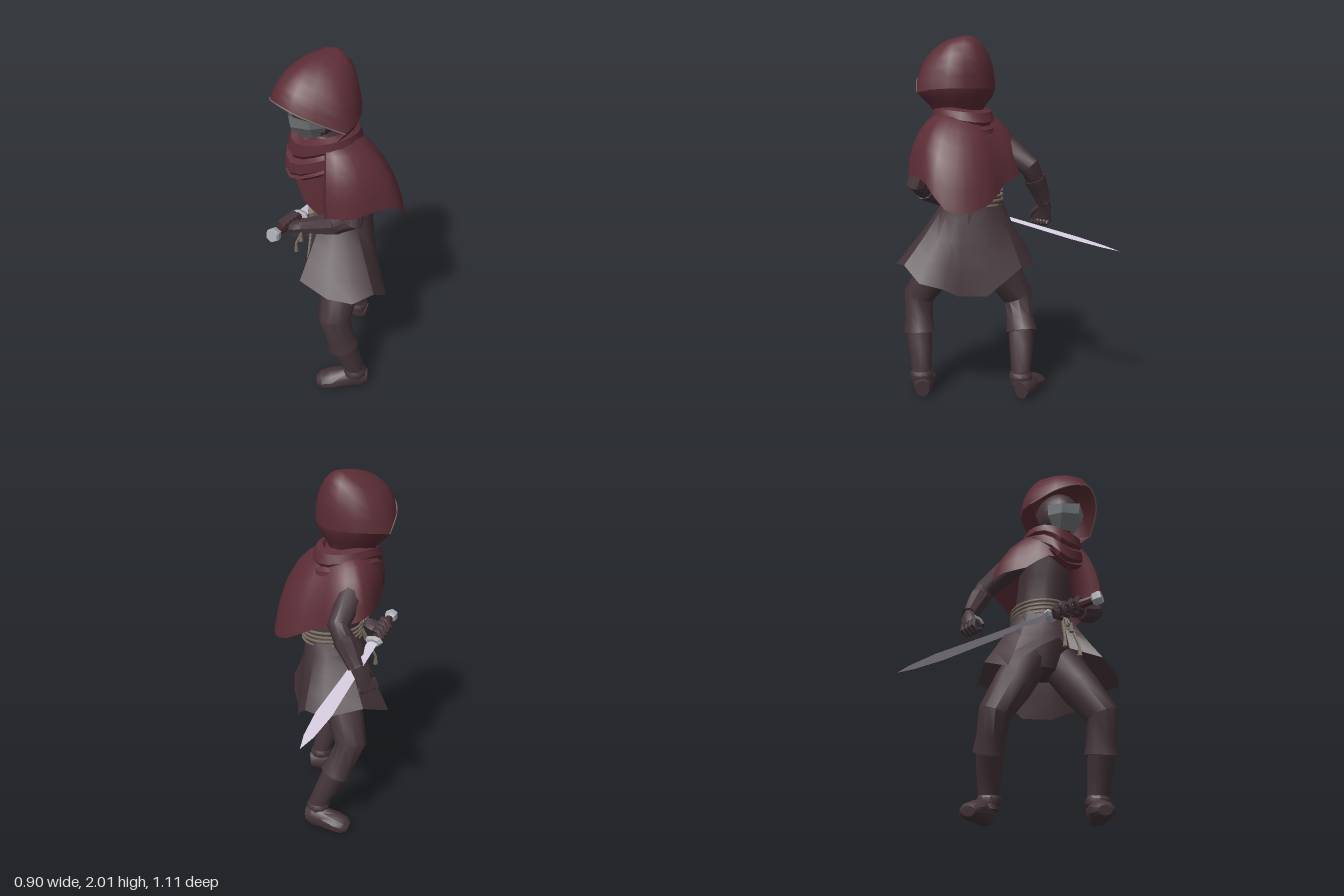
import * as THREE from 'three';
import { toCreasedNormals } from 'three/addons/utils/BufferGeometryUtils.js';

const V = (x, y, z) => new THREE.Vector3(x, y, z);
const mat = (name, color, side = THREE.FrontSide) => {
  const m = new THREE.MeshStandardMaterial({ color, side });
  m.name = name;
  return m;
};

// Skin a list of rings (top to bottom, each running front -> left -> back)
function loft(rings, closed = true, crease = 0.7) {
  const n = rings[0].length, pos = [], idx = [];
  rings.forEach(r => r.forEach(p => pos.push(p.x, p.y, p.z)));
  for (let i = 0; i < rings.length - 1; i++) {
    for (let j = 0; j < (closed ? n : n - 1); j++) {
      const k = (j + 1) % n, a = i * n + j, b = a + n, c = (i + 1) * n + k, d = i * n + k;
      idx.push(a, b, c, a, c, d);
    }
  }
  const g = new THREE.BufferGeometry();
  g.setAttribute('position', new THREE.Float32BufferAttribute(pos, 3));
  g.setIndex(idx);
  return toCreasedNormals(g, crease);
}

// Capped tube through [x, y, z, radius along ref, radius across]
function limb(pts, sides = 10, ref = V(0, 0, 1), crease = 0.7) {
  const P = pts.map(p => V(p[0], p[1], p[2])), last = P.length - 1;
  const rings = P.map((p, i) => {
    const T = P[Math.min(i + 1, last)].clone().sub(P[Math.max(i - 1, 0)]).normalize();
    const u = ref.clone().addScaledVector(T, -ref.dot(T)).normalize();
    const v = u.clone().cross(T);
    const ru = pts[i][3], rv = pts[i][4] ?? ru;
    return Array.from({ length: sides }, (_, j) => {
      const a = j / sides * Math.PI * 2;
      const q = p.clone().addScaledVector(u, ru * Math.cos(a)).addScaledVector(v, rv * Math.sin(a));
      q.y = Math.max(q.y, 0);
      return q;
    });
  });
  const cap = p => Array.from({ length: sides }, () => p.clone());
  return loft([cap(P[0]), ...rings, cap(P[last])], true, crease);
}

// Horizontal ellipse ring
const oval = (x, y, z, rx, rz, n = 16) => Array.from({ length: n }, (_, j) => {
  const a = j / n * Math.PI * 2;
  return V(x + rx * Math.sin(a), y, z + rz * Math.cos(a));
});

// Cloth from a small ring around c down to a hem; flat and backFlat straighten the curve
function drape(c, r, hem, steps, flat, backFlat) {
  const rings = [];
  for (let k = 0; k <= steps; k++) {
    const t = k / steps, s = Math.sin(t * Math.PI / 2), q = 1 - Math.cos(t * Math.PI / 2);
    rings.push(hem.map(p => {
      const dir = V(p.x - c.x, 0, p.z - c.z).normalize();
      const b = flat + backFlat * Math.max(0, -dir.z);
      const f = s + (t - s) * b, h = q + (t - q) * b;
      const d = dir.multiplyScalar(r).add(c);
      return V(d.x + (p.x - d.x) * f, d.y + (p.y - d.y) * h, d.z + (p.z - d.z) * f);
    }));
  }
  return loft(rings, true, 0.8);
}

export function createModel() {
  const model = new THREE.Group();
  const red = mat('red cloth', 0x5c2d36, THREE.DoubleSide);
  const brown = mat('brown cloth', 0x45353a);
  const skirtMat = mat('brown skirt cloth', 0x45353a, THREE.DoubleSide);
  const tan = mat('tan rope', 0x786a5e);
  const maskMat = mat('grey mask', 0x75797c, THREE.DoubleSide);
  const steel = mat('steel', 0xd4ccde);
  const fitting = mat('grey fitting', 0xaaacb2);
  const grip = mat('grip leather', 0x4a2a30);
  const add = (name, geo, m) => {
    const mesh = new THREE.Mesh(geo, m);
    mesh.name = name;
    model.add(mesh);
    return mesh;
  };

  // Torso, neck and head
  add('torso', loft([
    oval(0.06, 1.66, 0.21, 0.06, 0.06), oval(0.05, 1.56, 0.18, 0.1, 0.11),
    oval(0.05, 1.47, 0.16, 0.17, 0.155), oval(0.06, 1.32, 0.13, 0.155, 0.16),
    oval(0.06, 1.14, 0.08, 0.14, 0.162), oval(0.07, 0.95, 0.08, 0.16, 0.15),
    oval(0.07, 0.8, 0.07, 0.12, 0.11), oval(0.07, 0.76, 0.07, 0, 0),
  ]), brown);
  const head = add('head', new THREE.SphereGeometry(1, 16, 12), brown);
  head.position.set(0.06, 1.73, 0.23);
  head.scale.set(0.115, 0.145, 0.14);

  // Face mask with a central ridge
  const maskRow = (y, pts) => [...pts.map(p => V(0.06 - p[0], y + p[1], p[2])),
    ...pts.slice(0, -1).reverse().map(p => V(0.06 + p[0], y + p[1], p[2]))];
  add('mask', loft([
    maskRow(1.73, [[0.125, 0.01, 0.28], [0.09, 0, 0.355], [0, 0.015, 0.41]]),
    maskRow(1.68, [[0.115, 0, 0.27], [0.08, 0, 0.345], [0, 0, 0.4]]),
    maskRow(1.605, [[0.075, 0.02, 0.26], [0.05, 0, 0.3], [0, -0.01, 0.33]]),
  ], false, 0.2), maskMat);

  // Hood: broad brim, full at the back, mirrored about the head
  const hx = 0.06;
  const half = [[0, 1.83, 0.475], [0.085, 1.81, 0.45], [0.165, 1.77, 0.385], [0.245, 1.7, 0.262],
    [0.22, 1.715, 0.17], [0.16, 1.72, 0.09], [0.08, 1.72, 0.045], [0, 1.72, 0.03]];
  const hoodHem = [...half.map(p => V(hx + p[0], p[1], p[2])),
    ...half.slice(1, -1).reverse().map(p => V(hx - p[0], p[1], p[2]))];
  add('hood', drape(V(hx, 2, 0.18), 0.03, hoodHem, 7, 0.25, -0.65), red);
  add('hoodTop', loft([oval(hx, 2, 0.18, 0, 0), oval(hx, 2, 0.18, 0.032, 0.032)]), red);
  // Hood sides tucked in below the brim
  const tuck = hoodHem.slice(3, 12);
  const tucked = (sx, sz, y) => tuck.map(p => V(hx + (p.x - hx) * sx, y, 0.2 + (p.z - 0.2) * sz));
  add('hoodCollar', loft([tuck, tucked(0.9, 0.93, 1.675), tucked(0.72, 0.73, 1.63),
    tucked(0.52, 0.6, 1.57)], false), red);
  const brim = [...hoodHem.slice(-3), ...hoodHem.slice(0, 4)];
  add('brimStitch', new THREE.TubeGeometry(new THREE.CatmullRomCurve3(brim), 24, 0.004, 5), tan);

  // Shoulder cape, longer over the left chest and the left back
  const capeHem = [[0.005, 1.36, 0.35], [0.045, 1.21, 0.325], [0.1, 1.16, 0.3], [0.18, 1.155, 0.3],
    [0.27, 1.24, 0.355], [0.37, 1.25, 0.27], [0.4, 1.26, 0.15], [0.415, 1.23, 0.02], [0.37, 1.1, -0.09],
    [0.28, 1.08, -0.155], [0.14, 1.12, -0.175], [0, 1.2, -0.11], [-0.13, 1.25, -0.08],
    [-0.235, 1.29, 0], [-0.23, 1.31, 0.1], [-0.17, 1.32, 0.21], [-0.1, 1.38, 0.31]].map(p => V(...p));
  const capeCurve = new THREE.CatmullRomCurve3(capeHem, true);
  add('cape', drape(V(0.06, 1.6, 0.18), 0.1,
    Array.from({ length: 34 }, (_, i) => capeCurve.getPoint(i / 34)), 6, 0.1, 0.3), red);

  // Folded scarf, drooping at the front and a little at the back
  const scarfRing = ([r, y, drop]) => oval(0.06, y, 0.19, r, r, 18).map(p => {
    const c = (p.z - 0.19) / r, f = Math.max(0, c) ** 3, b = Math.max(0, -c) ** 2;
    return V(p.x - 0.6 * drop * f, p.y - drop * (f + 0.4 * b), p.z - 0.4 * drop * b);
  });
  add('scarf', loft([[0.1, 1.56, 0.04], [0.13, 1.625, 0.05], [0.165, 1.61, 0.05],
    [0.174, 1.57, 0.08], [0.16, 1.555, 0.09], [0.18, 1.54, 0.1], [0.184, 1.49, 0.11],
    [0.168, 1.48, 0.12], [0.18, 1.465, 0.12], [0.145, 1.43, 0.1]].map(scarfRing), true, 0.5), red);

  // Tunic skirt with front flaps
  const hem = [[0.06, 0.88, 0.3], [0.15, 0.805, 0.45], [0.32, 0.765, 0.4], [0.425, 0.755, 0.315],
    [0.45, 0.77, 0.19], [0.425, 0.685, 0.08], [0.32, 0.65, 0], [0.25, 0.61, -0.03],
    [0.12, 0.61, -0.13], [0.04, 0.69, -0.18], [-0.05, 0.76, -0.21], [-0.17, 0.75, -0.17],
    [-0.285, 0.79, 0.01], [-0.285, 0.71, 0.2], [-0.1, 0.865, 0.25], [0, 0.93, 0.28]].map(p => V(...p));
  const waist = hem.map(p => {
    const a = Math.atan2(p.x - 0.06, p.z - 0.08);
    return V(0.06 + 0.145 * Math.sin(a), 1.14, 0.08 + 0.165 * Math.cos(a));
  });
  add('skirt', loft([0, 0.25, 0.5, 0.75, 1].map(t => waist.map((p, i) => {
    const f = t ** 1.15, q = hem[i];
    return V(p.x + (q.x - p.x) * f, p.y + (q.y - p.y) * t, p.z + (q.z - p.z) * f);
  })), true, 0.6), skirtMat);

  // Rope belt, knot and tassels
  [1.095, 1.12, 1.145, 1.17].forEach((y, i) => {
    const rope = add('belt' + (i + 1), new THREE.TorusGeometry(1, 0.05, 6, 28), tan);
    rope.rotation.x = Math.PI / 2;
    rope.position.set(0.06, y, 0.08);
    rope.scale.set(0.152, 0.171, 0.16);
  });
  add('beltKnot', limb([[0.02, 1.14, 0.26, 0.02], [0.04, 1.11, 0.27, 0.03], [0.05, 1.08, 0.27, 0.018]], 6), tan);
  [[-0.02, 0.85], [0.03, 0.95], [0.09, 0.83]].forEach(([x, y], i) => add('tassel' + (i + 1), limb([
    [0.04, 1.1, 0.275, 0.008], [0.04 + (x - 0.04) * 0.6, 1, 0.31, 0.008],
    [x, y + 0.05, 0.345, 0.008], [x, y, 0.345, 0.014]], 5), tan));

  // Legs: trousers, boot shaft and shoe
  const leg = (side, hip, knee, cuff, ankle, heel, toe) => {
    const mix = (a, b, t) => a.map((v, i) => v + (b[i] - v) * t);
    add(side + 'Trouser', limb([[...hip, 0.11], [...mix(hip, knee, 0.5), 0.108], [...knee, 0.092, 0.087],
      [...mix(knee, cuff, 0.6), 0.08], [...cuff, 0.092, 0.09]], 10), brown);
    add(side + 'Boot', limb([[...mix(cuff, knee, 0.1), 0.075], [...mix(cuff, ankle, 0.4), 0.068],
      [...ankle, 0.056], [ankle[0], 0.07, ankle[2], 0.055]], 10), brown);
    add(side + 'BootCuff', limb([[ankle[0], 0.145, ankle[2], 0.058], [ankle[0], 0.125, ankle[2], 0.068],
      [ankle[0], 0.1, ankle[2], 0.064]], 10), brown);
    const s = (t, y, h, w) => { const p = mix(heel, toe, t); return [p[0], y, p[2], h, w]; };
    add(side + 'Shoe', limb([s(0, 0.055, 0.05, 0.04), s(0.15, 0.06, 0.068, 0.055),
      s(0.4, 0.055, 0.064, 0.054), s(0.7, 0.045, 0.055, 0.068), s(0.9, 0.035, 0.045, 0.06),
      s(1, 0.028, 0.026, 0.036)], 10, V(0, 1, 0)), brown);
  };
  leg('left', [0.16, 0.88, 0.12], [0.275, 0.55, 0.32], [0.3, 0.345, 0.28], [0.33, 0.14, 0.215],
    [0.365, 0, 0.155], [0.19, 0, 0.385]);
  leg('right', [0, 0.88, 0.06], [-0.2, 0.53, 0], [-0.16, 0.345, -0.08], [-0.095, 0.14, -0.155],
    [-0.055, 0, -0.205], [-0.285, 0, -0.085]);

  // Arms with flared bracers
  const arm = (side, sh, el, wr) => {
    const m = t => el.map((v, i) => v + (wr[i] - v) * t);
    add(side + 'Arm', limb([[...sh, 0.075], [...sh.map((v, i) => (v + el[i]) / 2), 0.068],
      [...el, 0.058], [...m(0.3), 0.054], [...wr, 0.034]], 10), brown);
    add(side + 'Bracer', limb([[...m(0.3), 0.06], [...m(0.4), 0.06], [...m(0.95), 0.042],
      [...m(1), 0.044]], 8), brown);
  };
  arm('left', [0.24, 1.46, 0.17], [0.33, 1.2, 0.24], [0.08, 1.085, 0.36]);
  arm('right', [-0.1, 1.46, 0.12], [-0.2, 1.29, -0.1], [-0.32, 1.09, -0.08]);

  // Sword held backwards: everything sits along one axis
  const A = V(0.055, 1.092, 0.545), B = V(-0.45, 0.855, -0.553), up = V(0, 1, 0);
  const along = (rows, sides, crease) => limb(rows.map(([t, ru, rv]) =>
    [...A.clone().lerp(B, t).toArray(), ru, rv]), sides, up, crease);
  add('pommel', along([[0, 0.034], [0.012, 0.04], [0.035, 0.036], [0.045, 0.022]], 6, 0.2), fitting);
  add('handle', along([[0.04, 0.022], [0.09, 0.026], [0.15, 0.023], [0.24, 0.026]], 8), grip);
  add('guard', along([[0.225, 0.025, 0.04], [0.235, 0.032, 0.055], [0.255, 0.025, 0.04]], 8, 0.3), fitting);
  add('blade', along([[0.25, 0.011, 0.03], [0.55, 0.011, 0.037], [0.78, 0.01, 0.046],
    [0.92, 0.007, 0.028], [1, 0, 0]], 4, 0.1), steel);

  // Left fist around the handle
  add('leftPalm', limb([[0.09, 1.085, 0.355, 0.03], [0.05, 1.07, 0.37, 0.045, 0.035],
    [0.015, 1.06, 0.38, 0.045, 0.028]], 8), brown);
  for (let i = 0; i < 4; i++) {
    const c = A.clone().lerp(B, 0.1 + i * 0.032);
    add('leftFinger' + (i + 1), limb([[c.x + 0.03, c.y + 0.028, c.z, 0.016], [c.x - 0.015, c.y + 0.032, c.z, 0.017],
      [c.x - 0.035, c.y, c.z, 0.017], [c.x - 0.015, c.y - 0.032, c.z, 0.015],
      [c.x + 0.02, c.y - 0.03, c.z, 0.012]], 6), brown);
  }

  // Right hand, loosely curled
  add('rightPalm', limb([[-0.32, 1.09, -0.08, 0.032], [-0.343, 1.05, -0.06, 0.048, 0.03],
    [-0.355, 0.995, -0.04, 0.05, 0.026]], 8), brown);
  for (let i = 0; i < 4; i++) {
    const z = -0.075 + i * 0.028;
    add('rightFinger' + (i + 1), limb([[-0.36, 1.01, z, 0.016], [-0.372, 0.97, z + 0.008, 0.016],
      [-0.35, 0.95, z + 0.014, 0.014], [-0.32, 0.962, z + 0.016, 0.011]], 6), brown);
  }
  add('rightThumb', limb([[-0.335, 1.05, -0.03, 0.018], [-0.32, 1.015, 0.015, 0.016],
    [-0.318, 0.985, 0.035, 0.011]], 6), brown);

  return model;
}
